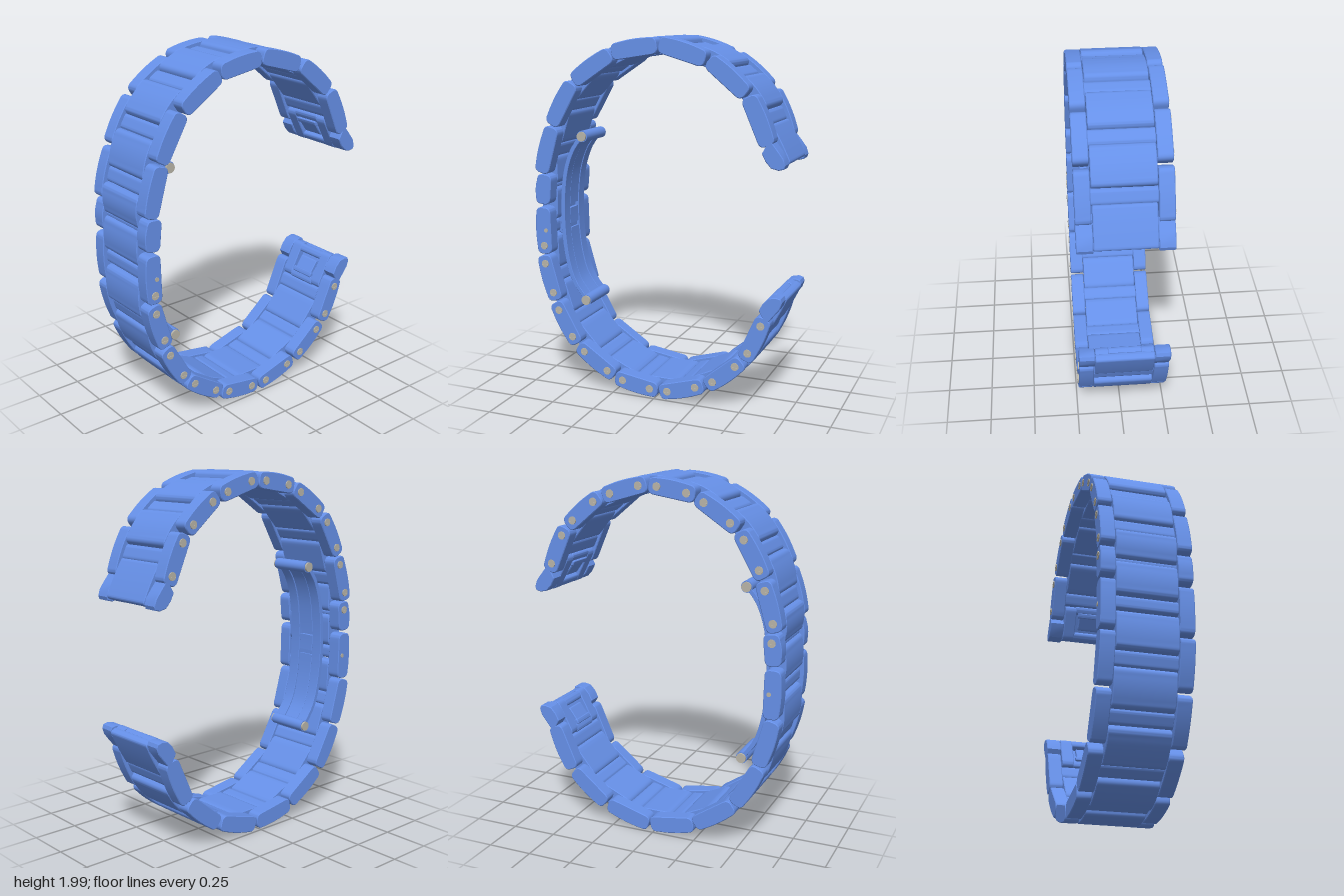
import * as THREE from 'three';
import { toCreasedNormals } from 'three/addons/utils/BufferGeometryUtils.js';

const blue = new THREE.MeshStandardMaterial({ color: 0x6690e8 });
const grey = new THREE.MeshStandardMaterial({ color: 0xb8b4a8 });
const V = (z, y) => new THREE.Vector2(z, y);
const flip = (p) => V(p.x, 2 - p.y);

// Pairs of screw centres (z, y), one pair per side link of the lower half
const PAIRS = [
  [0.67, 0.716, 0.623, 0.55], [0.59, 0.449, 0.506, 0.301], [0.432, 0.221, 0.289, 0.126],
  [0.194, 0.083, 0.029, 0.057], [-0.077, 0.057, -0.241, 0.105],
  [-0.342, 0.152, -0.469, 0.258], [-0.538, 0.343, -0.607, 0.502],
].map(([a, b, c, d]) => [V(a, b), V(c, d)]);

// Extrudes a (z, y) outline across x from x0 to x1 with a fine bevel
function across(name, shape, x0, x1, bevel = 0.004) {
  let g = new THREE.ExtrudeGeometry(shape, {
    depth: x1 - x0 - 2 * bevel, curveSegments: 8, bevelEnabled: bevel > 0,
    bevelThickness: bevel, bevelSize: bevel, bevelOffset: -bevel, bevelSegments: 1,
  });
  g.rotateY(-Math.PI / 2).translate(x1 - bevel, 0, 0);
  g = toCreasedNormals(g, 0.6);
  const m = new THREE.Mesh(g, blue);
  m.name = name;
  return m;
}

// Round-ended link outline through two pivots, slightly domed on its outer face
function linkShape(p, q, half, ext, dome = 0.006) {
  const d = q.clone().sub(p).normalize();
  const n = V(d.y, -d.x);
  const mid = p.clone().add(q).multiplyScalar(0.5);
  if (n.dot(mid.clone().sub(V(0, 1))) < 0) n.negate();
  const len = p.distanceTo(q) / 2 + ext;
  const r = Math.min(half * 0.8, len * 0.8);
  const at = (u, v) => mid.clone().addScaledVector(d, u).addScaledVector(n, v);
  const s = new THREE.Shape();
  const go = (c, e) => s.quadraticCurveTo(c.x, c.y, e.x, e.y);
  const a = at(-len + r, -half);
  s.moveTo(a.x, a.y);
  go(at(0, -half), at(len - r, -half));
  go(at(len, -half), at(len, -half + r));
  go(at(len, 0), at(len, half - r));
  go(at(len, half), at(len - r, half));
  go(at(0, half + 2 * dome), at(-len + r, half));
  go(at(-len, half), at(-len, half - r));
  go(at(-len, 0), at(-len, -half + r));
  go(at(-len, -half), a);
  return s;
}

// Slotted screw head, facing +x or -x
function screw(p, side) {
  const g = new THREE.Group();
  g.name = 'screw';
  const base = new THREE.Mesh(new THREE.CylinderGeometry(0.022, 0.022, 0.006, 20), grey);
  base.rotation.z = Math.PI / 2;
  g.add(base);
  for (const k of [0, Math.PI]) {
    const s = new THREE.Shape().absarc(0, 0, 0.021, k + 0.22, k + Math.PI - 0.22);
    const half = across('screwHead', s, 0.002, 0.006, 0);
    half.material = grey;
    g.add(half);
  }
  g.position.set(side * 0.24, p.y, p.x);
  g.rotation.y = side < 0 ? Math.PI : 0;
  return g;
}

export function createModel() {
  const root = new THREE.Group();
  root.name = 'linkBracelet';
  const SIDES = [1, -1];

  const sideLinks = (p, q) => SIDES.forEach((s) => root.add(
    across('sideLink', linkShape(p, q, 0.045, 0.048), s > 0 ? 0.163 : -0.241, s > 0 ? 0.241 : -0.163)));
  const centreLink = (p, q) => root.add(across('centreLink', linkShape(p, q, 0.045, 0.049), -0.16, 0.16));
  const bar = (p, q) => {
    const a = p.clone().lerp(q, 0.32), b = p.clone().lerp(q, 0.68);
    root.add(across('connectingBar', linkShape(a, b, 0.03, 0.012, 0), -0.165, 0.165));
  };

  // Lower and upper halves of the chain
  for (const up of [false, true]) {
    const f = (p) => (up ? flip(p) : p);
    const side = up ? -1 : 1;
    PAIRS.forEach(([a, b], i) => {
      sideLinks(f(a), f(b));
      bar(f(a), f(b));
      if (i < PAIRS.length - 1) centreLink(f(b), f(PAIRS[i + 1][0]));
      root.add(screw(f(a), side), screw(f(b), side));
    });

    // End lugs beside the end plate
    const pts = [[-0.595, 0.585], [-0.615, 0.625], [-0.645, 0.658], [-0.685, 0.667], [-0.712, 0.66],
      [-0.719, 0.64], [-0.708, 0.605], [-0.68, 0.568], [-0.635, 0.512]].map(([z, y]) => f(V(z, y)));
    for (const s of SIDES) {
      root.add(across('endLug', new THREE.Shape(pts), s > 0 ? 0.158 : -0.241, s > 0 ? 0.241 : -0.158));
      root.add(across('endFrameRail', linkShape(f(V(-0.607, 0.502)), f(V(-0.666, 0.615)), 0.043, 0.045, 0),
        s > 0 ? 0.085 : -0.156, s > 0 ? 0.156 : -0.085));
    }
    // End plate, cross bars and the release tab in its recess
    root.add(
      across('endPlate', linkShape(f(V(-0.623, 0.493)), f(V(-0.684, 0.608)), 0.024, 0.047, 0.003), -0.157, 0.157),
      across('endCrossBar', linkShape(f(V(-0.594, 0.475)), f(V(-0.6, 0.488)), 0.04, 0.018, 0), -0.09, 0.09),
      across('endCrossBar', linkShape(f(V(-0.66, 0.62)), f(V(-0.67, 0.636)), 0.035, 0.016, 0), -0.09, 0.09),
      across('releaseTab', linkShape(f(V(-0.578, 0.522)), f(V(-0.628, 0.59)), 0.012, 0.01, 0), -0.065, 0.065),
      across('releaseTabLip', linkShape(f(V(-0.572, 0.518)), f(V(-0.578, 0.532)), 0.012, 0.008, 0), -0.075, 0.075));
  }

  // Front section over the clasp
  const low = PAIRS[0][0], high = flip(low);
  const pivot = V(0.673, 0.821);
  sideLinks(pivot, V(0.677, 0.993));
  sideLinks(V(0.674, 1.108), V(0.667, 1.182));
  centreLink(low, pivot);
  centreLink(V(0.674, 1.007), V(0.671, 1.1));
  centreLink(V(0.668, 1.213), high);
  root.add(screw(pivot, 1), screw(V(0.667, 1.182), -1));
  root.add(
    across('connectingBar', linkShape(V(0.675, 0.9), V(0.675, 0.935), 0.03, 0.02, 0), -0.165, 0.165),
    across('connectingBar', linkShape(V(0.668, 1.145), V(0.668, 1.165), 0.025, 0.006, 0), -0.165, 0.165));
  const pin = new THREE.Mesh(new THREE.CylinderGeometry(0.012, 0.012, 0.488, 16), grey);
  pin.name = 'claspPin';
  pin.rotation.z = Math.PI / 2;
  pin.position.set(0, 0.91, 0.66);
  root.add(pin);

  // Folding clasp: curved blades made of three strips with slots near the middle
  const clasp = new THREE.Group();
  clasp.name = 'foldingClasp';
  const path = new THREE.SplineCurve([V(0.485, 1.437), V(0.545, 1.365), V(0.592, 1.24), V(0.613, 1.08),
    V(0.614, 0.92), V(0.597, 0.75), V(0.555, 0.6), V(0.475, 0.488)]);
  const strip = (t0, t1, x0, x1, half) => {
    const outer = [], inner = [];
    for (let i = 0; i <= 20; i++) {
      const t = t0 + (t1 - t0) * i / 20;
      const p = path.getPointAt(t), d = path.getTangentAt(t), n = V(-d.y, d.x);
      outer.push(p.clone().addScaledVector(n, half));
      inner.unshift(p.clone().addScaledVector(n, -half));
    }
    clasp.add(across('claspBlade', new THREE.Shape([...outer, ...inner]), x0, x1, 0.002));
  };
  for (const [a, b] of [[0, 0.43], [0.455, 0.545], [0.57, 1]]) strip(a, b, -0.05, 0.05, 0.01);
  for (const s of SIDES) strip(0, 1, s > 0 ? 0.053 : -0.12, s > 0 ? 0.12 : -0.053, 0.012);

  // Rolled blade ends with pins, and the block joining the blades to the band
  for (const p of [path.getPoint(0), path.getPoint(1)]) {
    for (const [name, r, len, mat] of [['bladeEndSleeve', 0.032, 0.24, blue], ['bladeEndPin', 0.027, 0.262, grey]]) {
      const m = new THREE.Mesh(new THREE.CylinderGeometry(r, r, len, 24), mat);
      m.name = name;
      m.rotation.z = Math.PI / 2;
      m.position.set(0, p.y, p.x);
      clasp.add(m);
    }
  }
  clasp.add(across('claspMount', linkShape(V(0.637, 0.9), V(0.637, 0.95), 0.02, 0.03, 0), -0.1, 0.1));
  root.add(clasp);

  // Stand on the ground plane
  const box = new THREE.Box3().setFromObject(root);
  root.children.forEach((c) => { c.position.y -= box.min.y; });
  return root;
}
